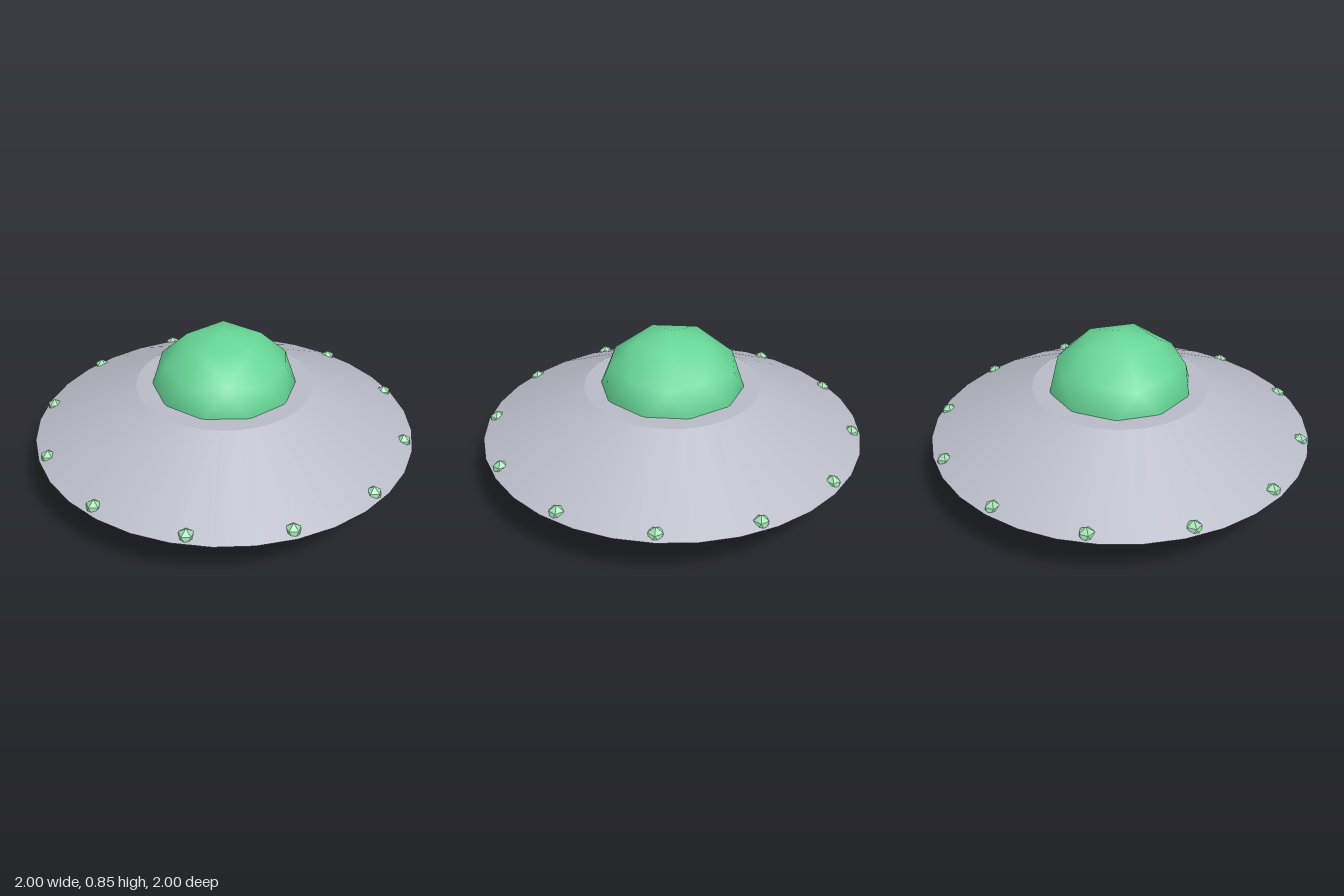
import * as THREE from 'three';

export function createModel() {
  const model = new THREE.Group();
  model.name = 'flyingSaucer';

  const paint = (name, color) => {
    const m = new THREE.MeshStandardMaterial({ color });
    m.name = name;
    return m;
  };
  const hullGrey = paint('hull grey', 0xb8bac6);
  const bellyGrey = paint('dark belly grey', 0x666b74);
  const domeGreen = paint('dome green', 0x66d696);
  const lampGreen = paint('pale lamp green', 0x9fdcb0);
  lampGreen.flatShading = true;

  const add = (name, geometry, material, parent = model) => {
    const mesh = new THREE.Mesh(geometry, material);
    mesh.name = name;
    parent.add(mesh);
    return mesh;
  };

  // Conical band between two heights, smooth round the side
  const band = (name, rTop, yTop, rBottom, yBottom, material, open = false) => {
    const g = new THREE.CylinderGeometry(rTop, rBottom, yTop - yBottom, 32, 1, open);
    g.translate(0, (yTop + yBottom) / 2, 0);
    return add(name, g, material);
  };

  // Ball with one vertex straight up and the next ring pointing to +x
  const ball = (detail, rx, ry) => {
    const g = new THREE.IcosahedronGeometry(1, detail);
    g.rotateX(-Math.atan((1 + Math.sqrt(5)) / 2));
    g.rotateY(Math.PI / 2);
    return g.scale(rx, ry, rx);
  };

  // Saucer hull, belly and landing light
  band('upperHull', 0.46, 0.55, 1, 0.28, hullGrey);
  band('lowerHull', 1, 0.28, 0.6, 0.147, hullGrey);
  band('belly', 0.605, 0.147, 0.345, 0.01, bellyGrey);
  band('bellyLight', 0.27, 0.012, 0.27, 0, lampGreen);

  // Cockpit dome, its lower half sunk in the hull
  add('dome', ball(1, 0.38, 0.325), domeGreen).position.y = 0.53;

  // Twelve rim lamps
  const lamps = new THREE.Group();
  lamps.name = 'rimLamps';
  model.add(lamps);
  const lampShape = ball(0, 0.043, 0.047);
  for (let i = 0; i < 12; i++) {
    const a = (i / 12) * Math.PI * 2;
    add('rimLamp', lampShape, lampGreen, lamps)
      .position.set(0.95 * Math.cos(a), 0.288, 0.95 * Math.sin(a));
  }

  return model;
}
